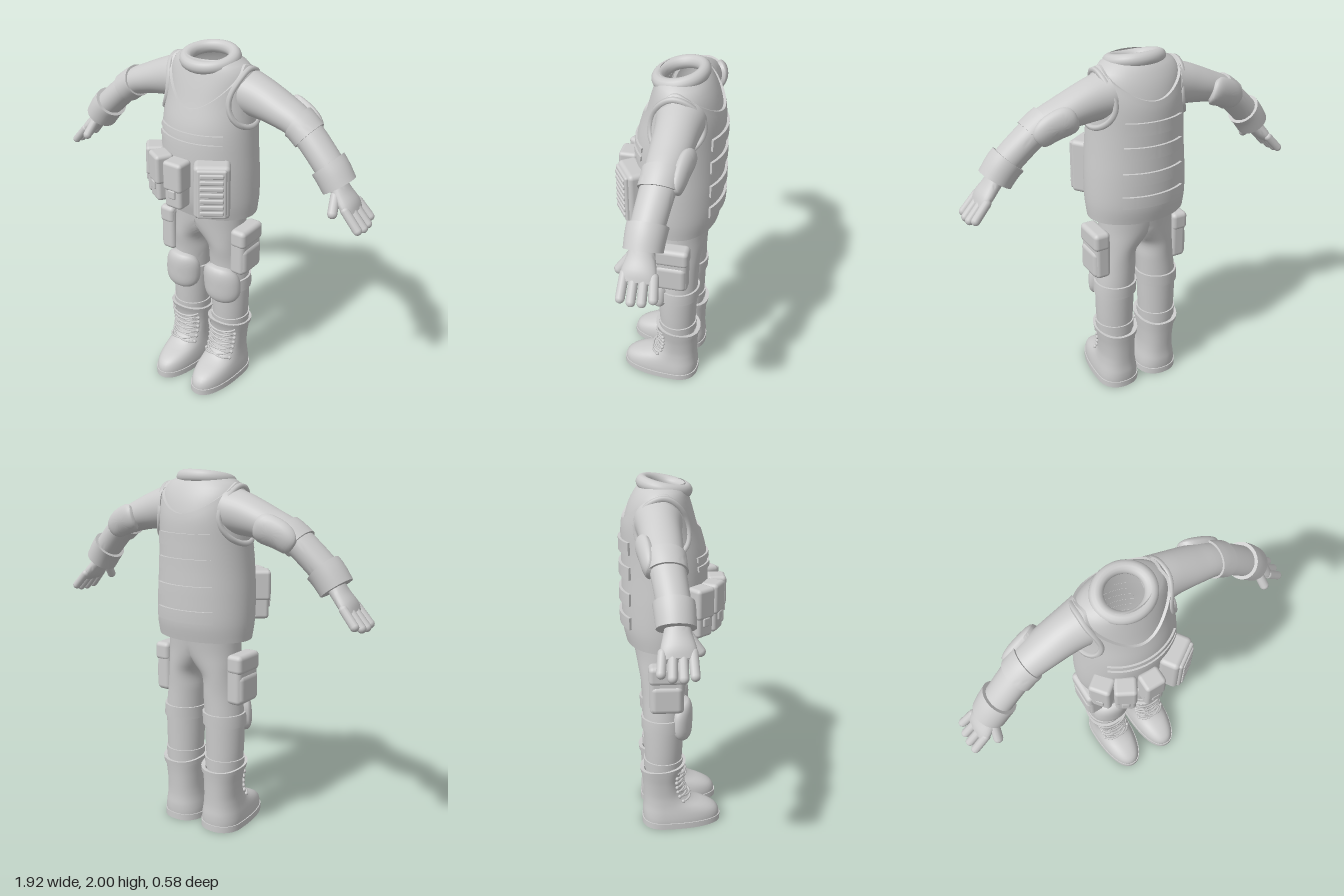
import * as THREE from 'three';
import { toCreasedNormals } from 'three/addons/utils/BufferGeometryUtils.js';
import { RoundedBoxGeometry } from 'three/addons/geometries/RoundedBoxGeometry.js';

const PI = Math.PI;
const mat = new THREE.MeshStandardMaterial({ color: 0xcccccc, side: THREE.DoubleSide });
const V = (x, y, z) => new THREE.Vector3(x, y, z);

function add(parent, name, geometry) {
  const mesh = new THREE.Mesh(geometry, mat);
  mesh.name = name;
  parent.add(mesh);
  return mesh;
}

// Smooth interpolation of rows keyed by their first column
function sample(rows, k) {
  let i = 0;
  while (i < rows.length - 2 && k > rows[i + 1][0]) i++;
  const slope = (j, c) => {
    const a = rows[Math.max(j - 1, 0)], b = rows[Math.min(j + 1, rows.length - 1)];
    return (b[c] - a[c]) / (b[0] - a[0]);
  };
  const a = rows[i], b = rows[i + 1], h = b[0] - a[0], s = (k - a[0]) / h;
  return a.map((_, c) => (2 * s ** 3 - 3 * s * s + 1) * a[c] + (3 * s * s - 2 * s ** 3) * b[c]
    + h * ((s ** 3 - 2 * s * s + s) * slope(i, c) + (s ** 3 - s * s) * slope(i + 1, c)));
}

const pw = (v, e) => Math.sign(v) * Math.abs(v) ** e;

// Upright surface from rows [y, cx, rx, zFront, zBack]; t = 0 is the front, t = PI/2 is +x
const upright = (rows, { zc, e = 1, minX = -9 } = {}) => (t, y, off = 0) => {
  const [, cx, rx, zf, zb] = sample(rows, y);
  const c = zc ?? (zf + zb) / 2, rz = Math.cos(t) > 0 ? zf - c : c - zb;
  return V(Math.max(minX, cx + (rx + off) * pw(Math.sin(t), e)), y, c + (rz + off) * pw(Math.cos(t), e));
};

// Limb surface from rows [v, x, y, z, radiusInPlane, radiusZ]
const limb = (rows) => (t, v, off = 0) => {
  const [, x, y, z, rp, rz] = sample(rows, v);
  const a = sample(rows, v - 0.01), b = sample(rows, v + 0.01);
  const l = Math.hypot(b[1] - a[1], b[2] - a[2]), k = (rp + off) * Math.sin(t) / l;
  return V(x + (b[2] - a[2]) * k, y - (b[1] - a[1]) * k, z + (rz + off) * Math.cos(t));
};

function grid(nu, nv, fn) {
  const pos = [], idx = [];
  for (let j = 0; j <= nv; j++) for (let i = 0; i <= nu; i++) pos.push(...fn(i / nu, j / nv, i, j).toArray());
  for (let j = 0; j < nv; j++) for (let i = 0; i < nu; i++) {
    const a = j * (nu + 1) + i, c = a + nu + 1;
    idx.push(a, a + 1, c, a + 1, c + 1, c);
  }
  const g = new THREE.BufferGeometry();
  g.setAttribute('position', new THREE.Float32BufferAttribute(pos, 3));
  g.setIndex(idx);
  return toCreasedNormals(g, 0.75);
}

// Slab lying on a surface, its edges turned inward; v1 may vary with t
function patch(f, t0, t1, v0, v1, off = 0, { nu = 40, nv = 4, inset = 0.015 } = {}) {
  const closed = t1 - t0 > 6.28;
  return grid(nu, nv + 2, (u, _, i, j) => {
    const k = closed ? u : THREE.MathUtils.clamp((i - 1) / (nu - 2), 0, 1);
    const t = t0 + (t1 - t0) * k, top = typeof v1 === 'function' ? v1(t) : v1;
    const v = v0 + (top - v0) * THREE.MathUtils.clamp((j - 1) / nv, 0, 1);
    const edge = j === 0 || j === nv + 2 || (!closed && (i === 0 || i === nu));
    return f(t, v, edge ? off - inset : off);
  });
}
const sleeve = (f, v0, v1, off, opts) => patch(f, -PI, PI, v0, v1, off, opts);

// Domed pad with a rounded outline on a surface
const pad = (f, tc, vc, dt, dv, off) => grid(40, 8, (u, w) => {
  const a = u * 2 * PI, r = 1 - w * w;
  return f(tc + dt * r * pw(Math.cos(a), 0.7), vc + dv * r * pw(Math.sin(a), 0.7),
    w === 0 ? -0.008 : 0.012 + (off - 0.012) * Math.sqrt(1 - r ** 4));
});

const tube = (pts, r, closed = false, n = 24) =>
  new THREE.TubeGeometry(new THREE.CatmullRomCurve3(pts, closed), n, r, 6, closed);

function box(parent, name, w, h, d, x, y, z, r = 0.02) {
  const m = add(parent, name, new RoundedBoxGeometry(w, h, d, 3, r));
  m.position.set(x, y, z);
  return m;
}

function capsule(parent, name, a, b, r) {
  const m = add(parent, name, new THREE.CapsuleGeometry(r, a.distanceTo(b), 5, 12));
  m.position.copy(a).lerp(b, 0.5);
  m.quaternion.setFromUnitVectors(V(0, 1, 0), b.clone().sub(a).normalize());
}

const torso = upright([
  [1.11, 0, 0.272, 0.135, -0.25], [1.2, 0, 0.28, 0.16, -0.268], [1.35, 0, 0.277, 0.178, -0.272],
  [1.5, 0, 0.266, 0.18, -0.27], [1.62, 0, 0.257, 0.168, -0.27], [1.75, 0, 0.25, 0.132, -0.268],
  [1.83, 0, 0.25, 0.11, -0.25], [1.88, 0, 0.243, 0.095, -0.23], [1.93, 0, 0.21, 0.08, -0.2], [1.96, 0, 0.15, 0.07, -0.17]]);
const leg = upright([
  [0.34, 0.138, 0.1, 0.035, -0.165], [0.5, 0.138, 0.108, 0.045, -0.17], [0.66, 0.134, 0.11, 0.05, -0.175],
  [0.8, 0.122, 0.105, 0.055, -0.178], [0.9, 0.114, 0.102, 0.07, -0.185], [0.96, 0.085, 0.13, 0.08, -0.195],
  [1.04, 0.035, 0.178, 0.095, -0.21], [1.16, 0, 0.21, 0.11, -0.23]], { minX: 0 });
const boot = upright([
  [0, 0.13, 0.115, 0.258, -0.18], [0.05, 0.13, 0.117, 0.262, -0.185], [0.09, 0.13, 0.113, 0.242, -0.185],
  [0.12, 0.13, 0.108, 0.19, -0.182], [0.15, 0.13, 0.104, 0.11, -0.18], [0.2, 0.13, 0.101, 0.055, -0.18],
  [0.28, 0.132, 0.105, 0.032, -0.183], [0.34, 0.134, 0.112, 0.038, -0.188], [0.41, 0.136, 0.12, 0.06, -0.196]],
  { zc: -0.06, e: 0.88 });
const arm = limb([
  [0, 0.18, 1.795, -0.085, 0.12, 0.125], [0.2, 0.28, 1.775, -0.085, 0.107, 0.11], [0.5, 0.42, 1.735, -0.08, 0.086, 0.1],
  [0.7, 0.54, 1.685, -0.07, 0.075, 0.088], [1, 0.72, 1.525, -0.045, 0.074, 0.08], [1.12, 0.785, 1.44, -0.04, 0.07, 0.075]]);
const hand = limb([
  [0, 0.765, 1.465, -0.035, 0.045, 0.055], [0.4, 0.805, 1.415, -0.035, 0.04, 0.07],
  [0.8, 0.85, 1.365, -0.035, 0.036, 0.084], [1, 0.875, 1.335, -0.035, 0.022, 0.078]]);

function buildTorso(root) {
  const g = new THREE.Group();
  g.name = 'torso';
  root.add(g);
  add(g, 'shirt', sleeve(torso, 1.58, 1.96, -0.008, { nu: 56, nv: 14, inset: 0 }));
  const neckline = (t) => (Math.cos(t) > 0 ? 1.72 : 1.78) + (Math.cos(t) > 0 ? 0.215 : 0.155) * Math.abs(Math.sin(t)) ** 1.9;
  add(g, 'vest', sleeve(torso, 1.11, neckline, 0.006, { nu: 72, nv: 24 }));
  add(g, 'vestUnderside', grid(56, 1, (u, v) => torso((u * 2 - 1) * PI, 1.111, -0.09 + 0.094 * v)));
  const collar = add(g, 'collar', new THREE.TorusGeometry(0.13, 0.035, 14, 48).rotateX(PI / 2).scale(1, 1, 0.9));
  collar.position.set(0, 1.94, -0.045);
  collar.rotation.x = 0.2;
  for (const y of [1.53, 1.578]) add(g, 'chestStrap', patch(torso, -0.8, 0.8, y, y + 0.026, 0.016));
  for (const y of [1.215, 1.345, 1.485, 1.615]) add(g, 'backStrap', patch(torso, PI - 0.65, PI + 0.65, y, y + 0.066, 0.02));

  // Belt pouches: [x, z, turn]
  for (const [x, z, turn] of [[-0.235, 0.125, -0.9], [-0.142, 0.195, -0.5], [-0.01, 0.23, 0]]) {
    const p = new THREE.Group();
    p.name = 'beltPouch';
    p.position.set(x, 1.33, z);
    p.rotation.y = turn;
    g.add(p);
    box(p, 'pouchBody', 0.108, 0.25, 0.09, 0, -0.005, 0);
    box(p, 'pouchFlap', 0.118, 0.165, 0.104, 0, 0.052, 0.002);
    box(p, 'pouchTab', 0.045, 0.05, 0.02, 0, -0.045, 0.045, 0.008);
  }
  const r = new THREE.Group();
  r.name = 'ribbedPouch';
  r.position.set(0.17, 1.325, 0.17);
  r.rotation.y = 0.6;
  g.add(r);
  box(r, 'pouchBody', 0.19, 0.3, 0.11, 0, 0, 0, 0.025);
  box(r, 'pouchFrame', 0.155, 0.275, 0.03, 0, 0, 0.055, 0.012);
  for (let i = 0; i < 7; i++) box(r, 'pouchRib', 0.125, 0.025, 0.02, 0, -0.105 + i * 0.035, 0.068, 0.008);
}

function buildArm(side) {
  // Armhole edge follows the vest surface
  const ring = [];
  for (let i = 0; i < 20; i++) {
    const a = i / 20 * 2 * PI;
    ring.push(torso(PI / 2 + 0.72 * Math.cos(a), 1.77 + 0.145 * Math.sin(a), 0.004));
  }
  add(side, 'armholeEdge', tube(ring, 0.016, true, 60));
  add(side, 'arm', sleeve(arm, 0, 1.1, 0, { nv: 24 }));
  add(side, 'elbowBand', sleeve(arm, 0.655, 0.775, 0.011));
  add(side, 'elbowPad', pad(arm, PI - 0.1, 0.62, 0.95, 0.17, 0.034));
  add(side, 'wristCuff', sleeve(arm, 0.975, 1.11, 0.018, { inset: 0.055 }));
  add(side, 'palm', sleeve(hand, 0, 1, 0, { nu: 28, nv: 10, inset: 0.02 }));
  for (let i = 0; i < 4; i++) {
    const z = 0.03 - i * 0.046, len = [0.92, 1, 0.97, 0.8][i];
    capsule(side, 'finger', V(0.855, 1.36, z), V(0.855 + 0.082 * len, 1.36 - 0.09 * len, z * 1.1), 0.023);
  }
  capsule(side, 'thumb', V(0.79, 1.415, 0.015), V(0.807, 1.345, 0.066), 0.025);
}

function buildLeg(side) {
  add(side, 'trouserLeg', sleeve(leg, 0.34, 1.16, 0, { nv: 40, inset: 0 }));
  add(side, 'kneeBand', sleeve(leg, 0.62, 0.69, 0.011));
  add(side, 'trouserHem', sleeve(leg, 0.37, 0.425, 0.008));
  add(side, 'kneePad', pad(leg, 0.05, 0.668, 1.05, 0.115, 0.05));
  box(side, 'thighPouch', 0.09, 0.27, 0.185, 0.24, 0.895, -0.05, 0.025);
  box(side, 'thighPouchFlap', 0.095, 0.105, 0.195, 0.245, 0.985, -0.05, 0.025);
  box(side, 'thighPouchFront', 0.095, 0.165, 0.175, 0.247, 0.845, -0.05, 0.03);

  // Boot with a sloping top, flat sole and crossed laces
  const top = (t) => 0.378 + 0.02 * Math.cos(t);
  add(side, 'boot', sleeve(boot, 0.02, top, 0, { nu: 48, nv: 30 }));
  add(side, 'bootRim', sleeve((t, v, o) => boot(t, top(t) + v, o), -0.022, 0.004, 0.007));
  const outline = [];
  for (let i = 0; i < 48; i++) {
    const p = boot(i / 48 * 2 * PI, 0.03, 0.006);
    outline.push(new THREE.Vector2(p.x, p.z));
  }
  const sole = new THREE.ExtrudeGeometry(new THREE.Shape(outline), { depth: 0.036, bevelEnabled: false });
  add(side, 'sole', toCreasedNormals(sole.rotateX(PI / 2).translate(0, 0.036, 0), 0.7));
  for (let i = 0; i < 6; i++) for (const s of [-1, 1]) {
    const pts = [];
    for (let k = -4; k <= 4; k++) {
      const q = k / 4;
      pts.push(boot(q * 0.85 * s, 0.165 + i * 0.031 + 0.018 * (q + 1), 0.006 + 0.014 * (1 - q * q)));
    }
    add(side, 'lace', tube(pts, 0.006));
    const eyelet = add(side, 'eyelet', new THREE.SphereGeometry(0.011, 8, 6));
    eyelet.position.copy(boot(s * 0.85, 0.165 + i * 0.031, 0.006));
  }
}

export function createModel() {
  const root = new THREE.Group();
  root.name = 'tacticalOutfit';
  buildTorso(root);
  for (const s of [1, -1]) {
    const side = new THREE.Group();
    side.name = s > 0 ? 'leftLimbs' : 'rightLimbs';
    buildArm(side);
    buildLeg(side);
    side.scale.x = s;
    root.add(side);
  }
  return root;
}
